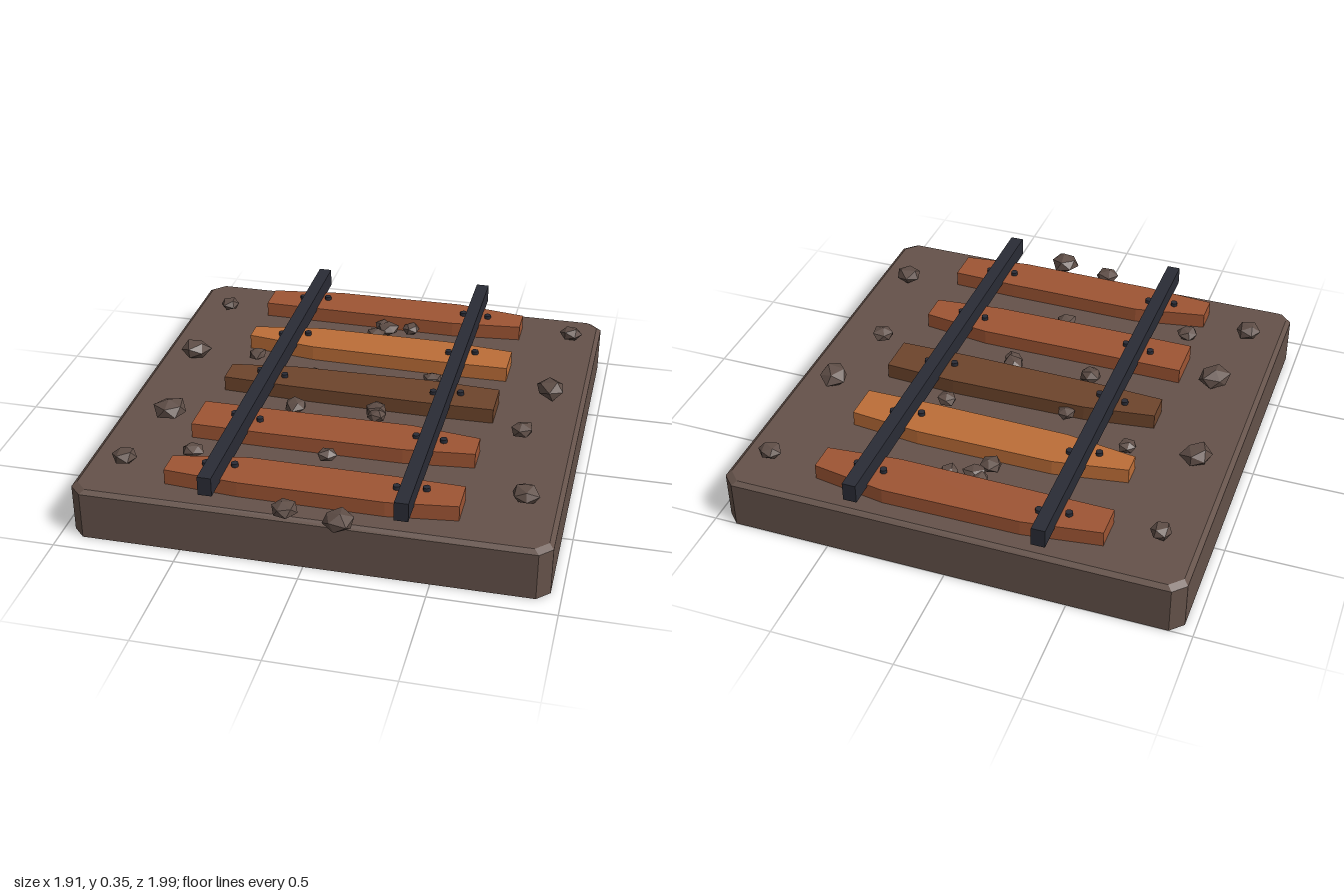
import * as THREE from 'three';

const flat = (name, color) => {
  const m = new THREE.MeshStandardMaterial({ color });
  m.name = name;
  return m;
};

// Extrude a plan outline of [x, z] points upwards from y = 0
function slab(outline, height, steps = 1) {
  const shape = new THREE.Shape(outline.map(([x, z]) => new THREE.Vector2(x, -z)));
  const geo = new THREE.ExtrudeGeometry(shape, { depth: height, steps, bevelEnabled: false });
  return geo.rotateX(-Math.PI / 2);
}

// Small seeded generator for the stone shapes
function seeded(seed) {
  return () => {
    seed = (seed * 16807) % 2147483647;
    return seed / 2147483647;
  };
}

// Faceted stone: an icosahedron with each corner pushed in or out
function stone(r, rand) {
  const geo = new THREE.IcosahedronGeometry(r, 0);
  const pos = geo.attributes.position;
  const push = new Map();
  const v = new THREE.Vector3();
  for (let i = 0; i < pos.count; i++) {
    v.fromBufferAttribute(pos, i);
    const key = v.toArray().map((n) => Math.round(n * 1e4)).join();
    if (!push.has(key)) push.set(key, 0.88 + rand() * 0.26);
    v.multiplyScalar(push.get(key));
    pos.setXYZ(i, v.x, v.y, v.z);
  }
  geo.rotateX(rand() * 6).rotateY(rand() * 6).scale(1, 0.62, 1);
  geo.computeVertexNormals();
  return geo;
}

export function createModel() {
  const model = new THREE.Group();
  const earth = flat('earth', 0x65524a);
  const steel = flat('darkSteel', 0x2a2c36);
  const redWood = flat('redWood', 0x9e5534);
  const paleWood = flat('paleWood', 0xbd6e38);
  const darkWood = flat('darkWood', 0x6e452c);
  const rock = flat('stone', 0x5f4e47);

  const add = (name, geo, mat, x = 0, y = 0, z = 0) => {
    const mesh = new THREE.Mesh(geo, mat);
    mesh.name = name;
    mesh.position.set(x, y, z);
    model.add(mesh);
    return mesh;
  };

  // Ground block with cut corners and a narrow bevel round the top
  const w = 0.956, d = 0.96, c = 0.05;
  const ground = slab([
    [-w + c, d], [w - c, d], [w, d - c], [w, -d + c],
    [w - c, -d], [-w + c, -d], [-w, -d + c], [-w, d - c],
  ], 0.215, 2);
  const p = ground.attributes.position;
  for (let i = 0; i < p.count; i++) {
    if (p.getY(i) > 0.2) p.setXYZ(i, p.getX(i) * 0.98, 0.215, p.getZ(i) * 0.98);
    else if (p.getY(i) > 0.05) p.setY(i, 0.2);
  }
  ground.computeVertexNormals();
  add('groundBlock', ground, earth, 0, 0, -0.04);

  // Sleepers: each station is [x, back z, front z]; bolts lists the z of its four bolts
  const sleepers = [
    { mat: redWood, plan: [[-0.6, -0.86, -0.72], [-0.28, -0.905, -0.716], [0.29, -0.91, -0.71], [0.598, -0.86, -0.74]],
      bolts: [-0.805, -0.825, -0.805, -0.8] },
    { mat: paleWood, plan: [[-0.585, -0.475, -0.385], [-0.28, -0.525, -0.34], [0.3, -0.525, -0.33], [0.598, -0.495, -0.335]],
      bolts: [-0.42, -0.45, -0.415, -0.44] },
    { mat: darkWood, plan: [[-0.585, -0.105, 0.015], [-0.29, -0.145, 0.03], [0.29, -0.155, 0.04], [0.596, -0.14, 0.035]],
      bolts: [-0.065, -0.045, -0.045, -0.065] },
    { mat: redWood, plan: [[-0.6, 0.235, 0.428], [-0.28, 0.236, 0.432], [0.29, 0.235, 0.43], [0.58, 0.275, 0.4]],
      bolts: [0.32, 0.34, 0.325, 0.335] },
    { mat: redWood, plan: [[-0.595, 0.68, 0.79], [-0.29, 0.625, 0.815], [0.3, 0.63, 0.82], [0.583, 0.64, 0.785]],
      bolts: [0.715, 0.7, 0.715, 0.7] },
  ];
  const boltGeo = new THREE.CylinderGeometry(0.015, 0.015, 0.035, 8);
  const boltX = [-0.445, -0.33, 0.325, 0.44];
  for (const { mat, plan, bolts } of sleepers) {
    const front = plan.map(([x, , z]) => [x, z]);
    const back = plan.map(([x, z]) => [x, z]).reverse();
    add('sleeper', slab([...front, ...back], 0.075), mat, 0, 0.205, 0);
    bolts.forEach((z, i) => add('bolt', boltGeo, steel, boltX[i], 0.278, z));
  }

  // Rails
  const railGeo = new THREE.BoxGeometry(0.056, 0.08, 1.915);
  for (const x of [-0.386, 0.383]) add('rail', railGeo, steel, x, 0.31, -0.042);

  // Loose stones: [x, z, radius]
  const rand = seeded(71);
  const stones = [
    [-0.79, -0.74, 0.047], [0.83, -0.8, 0.049], [-0.03, -0.68, 0.04], [0, -0.655, 0.048],
    [0.1, -0.68, 0.043], [-0.045, -0.585, 0.046], [-0.805, -0.255, 0.064], [-0.525, -0.285, 0.041],
    [-0.22, -0.16, 0.042], [0.285, -0.235, 0.043], [0.805, -0.25, 0.067], [-0.235, 0.125, 0.051],
    [0.105, 0.085, 0.051], [0.12, 0.13, 0.042], [0.73, 0.11, 0.049], [-0.745, 0.28, 0.068],
    [-0.01, 0.48, 0.044], [-0.55, 0.57, 0.046], [-0.8, 0.675, 0.053], [0.81, 0.595, 0.06],
    [-0.075, 0.9, 0.052], [0.145, 0.935, 0.066],
  ];
  for (const [x, z, r] of stones) add('stone', stone(r, rand), rock, x, 0.232 + r * 0.3, z);

  return model;
}
